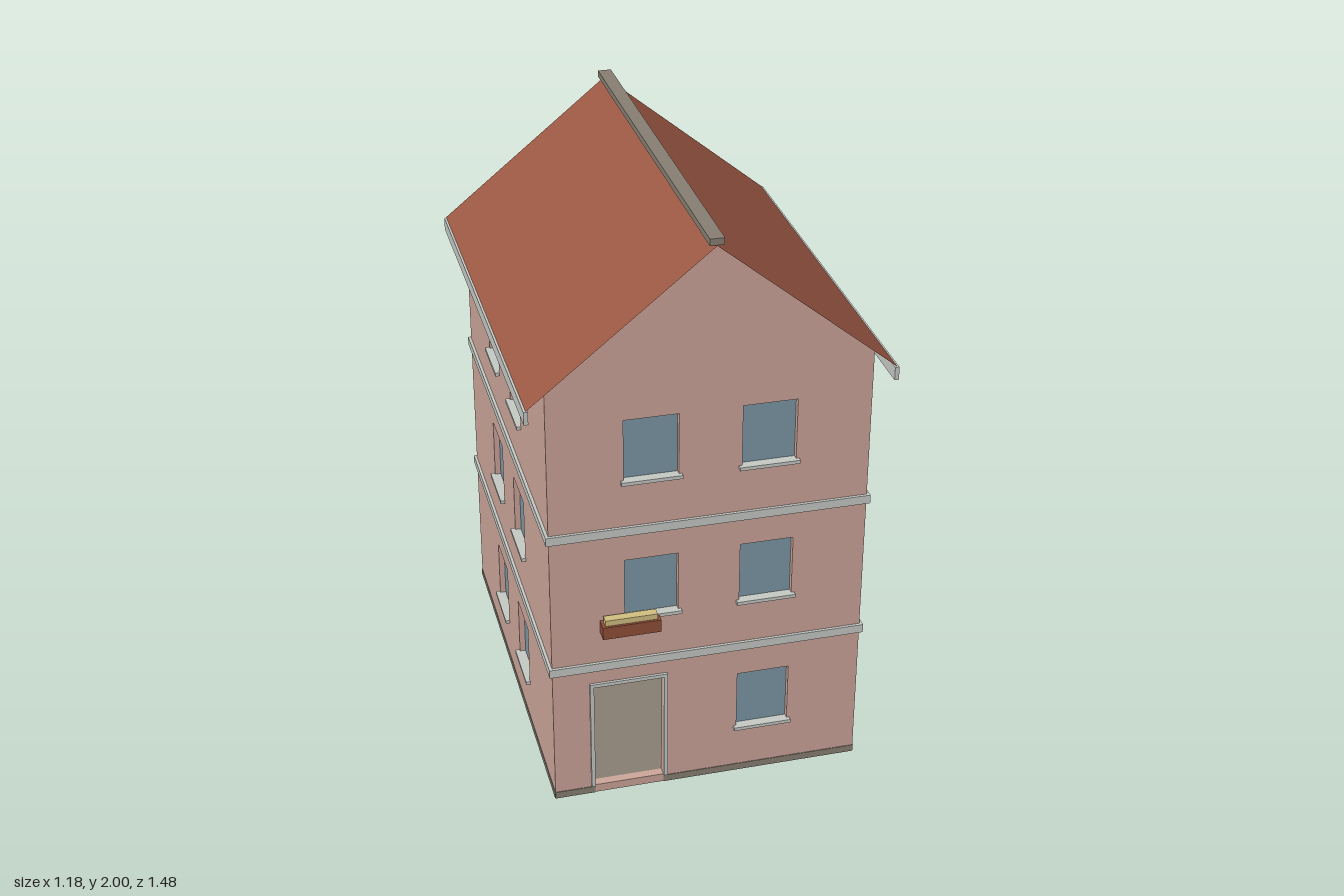
import * as THREE from 'three';

const mat = (name, color, side = THREE.FrontSide) => {
  const m = new THREE.MeshStandardMaterial({ color, side });
  m.name = name;
  return m;
};

export function createModel() {
  const M = {
    wall: mat('pink plaster', 0xcca59a),
    trim: mat('pale grey trim', 0xc6cac5),
    glass: mat('blue grey glass', 0x7c97a4),
    roof: mat('red brown tile', 0x9c5844, THREE.DoubleSide),
    stone: mat('grey stone', 0x877f73),
    cream: mat('yellow cream', 0xd2bf80),
    clay: mat('terracotta', 0x904e38),
  };
  const HX = 0.52, HZ = 0.697, T = 0.03, EAVE = 1.55, APEX = 1.97;
  const DOOR = { x: -0.267, w: 0.235, y0: 0.03, y1: 0.435 };
  const ROWS = [0.185, 0.692, 1.197], WIN_W = 0.176, WIN_H = 0.214;

  const model = new THREE.Group();
  model.name = 'house';

  const add = (parent, name, geo, material) => {
    const m = new THREE.Mesh(geo, material);
    m.name = name;
    parent.add(m);
    return m;
  };
  // Box given by its minimum and maximum corners
  const box = (parent, name, material, x0, x1, y0, y1, z0, z1) => {
    const m = add(parent, name, new THREE.BoxGeometry(x1 - x0, y1 - y0, z1 - z0), material);
    m.position.set((x0 + x1) / 2, (y0 + y1) / 2, (z0 + z1) / 2);
    return m;
  };
  const polygon = (Type, pts) => new Type(pts.map(([x, y]) => new THREE.Vector2(x, y)));
  const rect = (x0, x1, y0, y1) => [[x0, y0], [x1, y0], [x1, y1], [x0, y1]];

  // One wall with its openings, sills, glass and plinth, facing local +z
  function facade(name, half, dist, angle, { gable = false, doorX = null } = {}) {
    const g = new THREE.Group();
    g.name = name;
    g.rotation.y = angle;
    model.add(g);
    const outline = [[-half, 0], [half, 0], [half, EAVE]];
    if (gable) outline.push([0, APEX]);
    outline.push([-half, EAVE]);
    const shape = polygon(THREE.Shape, outline);

    ROWS.forEach((y, row) => [-0.19, 0.19].forEach((x) => {
      if (row === 0 && doorX !== null && x * doorX > 0) return;
      const w = WIN_W / 2;
      shape.holes.push(polygon(THREE.Path, rect(x - w, x + w, y, y + WIN_H)));
      box(g, 'windowPane', M.glass, x - w, x + w, y, y + WIN_H, dist - T + 0.002, dist - T + 0.01);
      box(g, 'windowSill', M.trim, x - w - 0.01, x + w + 0.01, y - 0.01, y + 0.002, dist - 0.018, dist + 0.015);
    }));

    const plinth = (x0, x1) => box(g, 'plinth', M.stone, x0, x1, 0, 0.025, dist - 0.004, dist + 0.002);
    if (doorX === null) {
      plinth(-half, half);
    } else {
      const a = doorX - DOOR.w / 2, b = doorX + DOOR.w / 2, f = 0.013;
      shape.holes.push(polygon(THREE.Path, rect(a, b, DOOR.y0, DOOR.y1)));
      plinth(-half, a);
      plinth(b, half);
      // Thin door surround
      const z0 = dist - 0.01, z1 = dist + 0.009;
      box(g, 'doorJamb', M.trim, a - f, a, DOOR.y0, DOOR.y1, z0, z1);
      box(g, 'doorJamb', M.trim, b, b + f, DOOR.y0, DOOR.y1, z0, z1);
      box(g, 'doorLintel', M.trim, a - f, b + f, DOOR.y1, DOOR.y1 + f, z0, z1);
    }
    const wall = add(g, 'wall', new THREE.ExtrudeGeometry(shape, { depth: T, bevelEnabled: false }), M.wall);
    wall.position.z = dist - T;

    // Inner lining, seen only from inside the ground floor
    const li = half - (gable ? T : 0);
    const lining = polygon(THREE.Shape, rect(-li, li, 0.03, 0.5));
    if (doorX !== null) {
      const c = -doorX;
      lining.holes.push(polygon(THREE.Path, rect(c - 0.09, c + 0.09, 0.03, 0.408)));
    }
    const l = add(g, 'innerLining', new THREE.ShapeGeometry(lining), gable ? M.cream : M.glass);
    l.rotation.y = Math.PI;
    l.position.z = dist - T - 0.004;
    return g;
  }

  const front = facade('frontWall', HX, HZ, 0, { gable: true, doorX: DOOR.x });
  facade('backWall', HX, HZ, Math.PI, { gable: true, doorX: -DOOR.x });
  facade('leftWall', HZ - T, HX, Math.PI / 2);
  facade('rightWall', HZ - T, HX, -Math.PI / 2);

  // Plinth corners on the long sides
  for (const sx of [-1, 1]) for (const sz of [-1, 1]) {
    const x = sx * HX, z = sz * (HZ - T / 2);
    box(model, 'plinthCorner', M.stone, x - 0.002, x + 0.002, 0, 0.025, z - T / 2, z + T / 2);
  }

  // Floors and string courses
  const ix = HX - T, iz = HZ - T;
  box(model, 'groundFloor', M.stone, -ix, ix, 0.001, 0.03, -iz, iz);
  box(model, 'groundCeiling', M.stone, -ix, ix, 0.485, 0.502, -iz, iz);
  for (const y of [0.5, 1.002])
    box(model, 'stringCourse', M.trim, -HX - 0.01, HX + 0.01, y, y + 0.03, -HZ - 0.01, HZ + 0.01);

  // Window box on the first floor
  box(front, 'flowerBox', M.clay, -0.36, -0.168, 0.645, 0.69, HZ, HZ + 0.044);
  box(front, 'flowers', M.cream, -0.35, -0.178, 0.69, 0.71, HZ + 0.006, HZ + 0.036);

  // Thin roof slopes with eaves boards and ridge cap
  const RX = 0.583, RY = 1.503, TOP = 1.976, RZ = 0.734;
  for (const s of [-1, 1]) {
    const len = Math.hypot(RX, TOP - RY);
    const slope = new THREE.PlaneGeometry(len, RZ * 2).rotateX(-Math.PI / 2);
    const m = add(model, 'roofSlope', slope, M.roof);
    m.rotation.z = -s * Math.atan2(TOP - RY, RX);
    m.position.set(s * RX / 2, (TOP + RY) / 2, 0);
    const e = s * 0.583;
    box(model, 'eavesBoard', M.trim, e - 0.007, e + 0.007, 1.457, 1.501, -RZ, RZ);
  }
  box(model, 'ridgeCap', M.stone, -0.023, 0.023, 1.978, 2.0, -RZ, RZ);

  model.position.z = -0.003;
  const root = new THREE.Group();
  root.name = 'model';
  root.add(model);
  return root;
}
